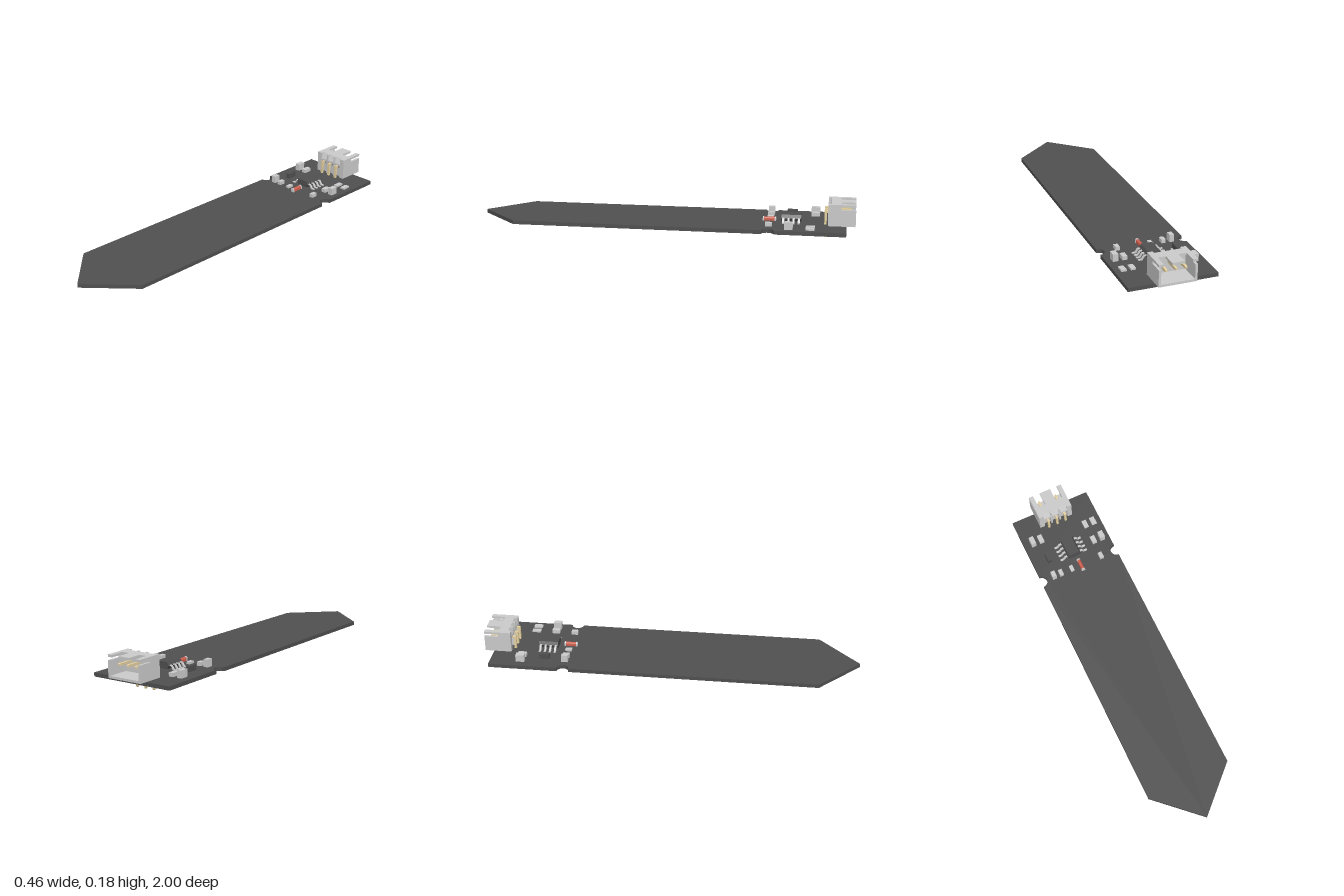
import * as THREE from 'three';

const mat = (color) => new THREE.MeshStandardMaterial({ color, flatShading: true });
const TOP = 0.068; // upper face of the board

export function createModel() {
  const grey = mat(0xcccccc), dark = mat(0x505050), gold = mat(0xe6d2a0), red = mat(0xd0604f);
  const model = new THREE.Group();

  const add = (parent, name, geo, material) => {
    const m = new THREE.Mesh(geo, material);
    m.name = name;
    parent.add(m);
    return m;
  };
  // box given by its limits on each axis
  const box = (parent, name, x0, x1, y0, y1, z0, z1, material = grey) => {
    const m = add(parent, name, new THREE.BoxGeometry(x1 - x0, y1 - y0, z1 - z0), material);
    m.position.set((x0 + x1) / 2, (y0 + y1) / 2, (z0 + z1) / 2);
    return m;
  };
  const group = (name) => {
    const g = new THREE.Group();
    g.name = name;
    model.add(g);
    return g;
  };
  const polygon = (pts) => new THREE.Shape(pts.map(([x, y]) => new THREE.Vector2(x, y)));
  const extrude = (shape, depth) =>
    new THREE.ExtrudeGeometry(shape, { depth, bevelEnabled: false, curveSegments: 14 });

  // Board: pointed blade with a half-round notch on each edge (shape y = -z)
  const W = 0.228, notchY = 0.555, R = 0.032;
  const outline = new THREE.Shape();
  outline.moveTo(0, -1);
  outline.lineTo(W, -0.785);
  outline.lineTo(W, notchY - R);
  outline.absarc(W, notchY, R, -Math.PI / 2, Math.PI / 2, true);
  outline.lineTo(W, 0.953);
  outline.lineTo(-W, 0.953);
  outline.lineTo(-W, notchY + R);
  outline.absarc(-W, notchY, R, Math.PI / 2, -Math.PI / 2, true);
  outline.lineTo(-W, -0.785);
  outline.closePath();
  const board = add(model, 'board', extrude(outline, 0.02).rotateX(-Math.PI / 2), dark);
  board.position.y = 0.048;

  // Connector housing, open towards the back
  const housing = group('connectorHousing');
  const H = 0.097, y0 = 0.07, y1 = 0.184, front = -0.858, wall = -0.874;
  box(housing, 'housingFloor', -H, H, y0, y0 + 0.012, -1, wall);
  box(housing, 'housingFrontWall', -H, H, y0, y1, wall - 0.014, wall);
  // top plate with two slots from the back edge (shape y = -z)
  const top = polygon([
    [-H, 0.874], [H, 0.874], [H, 1], [0.072, 1], [0.072, 0.925], [0.032, 0.925], [0.032, 1],
    [-0.032, 1], [-0.032, 0.925], [-0.072, 0.925], [-0.072, 1], [-H, 1],
  ]);
  add(housing, 'housingTop', extrude(top, 0.012).rotateX(-Math.PI / 2), grey).position.y = y1 - 0.012;
  // side walls with a narrow slot from the back edge
  for (const s of [-1, 1]) {
    const side = polygon([
      [0.874, y0], [1, y0], [1, 0.157], [0.925, 0.157], [0.925, 0.172], [1, 0.172], [1, y1], [0.874, y1],
    ]);
    const m = add(housing, 'housingSide', extrude(side, 0.012).rotateY(Math.PI / 2), grey);
    m.position.x = s > 0 ? H - 0.012 : -H;
  }
  // ribs leaving three grooves behind the pins
  for (const [a, b] of [[-H, -0.07], [-0.03, -0.02], [0.02, 0.03], [0.07, H]])
    box(housing, 'housingRib', a, b, y0, y1, wall, front);
  // sloped hood at the top of each groove
  for (const x of [-0.05, 0, 0.05]) {
    const hood = polygon([[-wall, 0.12], [-wall, y1], [-front, 0.15], [-front, 0.14]]);
    const m = add(housing, 'grooveHood', extrude(hood, 0.04).rotateY(Math.PI / 2), grey);
    m.position.x = x - 0.02;
  }

  // Bent pins: down through the board and back into the housing
  const pins = group('pins');
  for (const x of [-0.05, 0, 0.05]) {
    const a = 0.006;
    box(pins, 'pinLeg', x - a, x + a, 0.008, 0.142, -0.851, -0.839, gold);
    box(pins, 'pinContact', x - a, x + a, 0.13, 0.142, -0.97, -0.851, gold);
    for (const [tipY, flip, tipZ, turn] of [[0.004, Math.PI, -0.845, 0], [0.136, 0, -0.974, -Math.PI / 2]]) {
      const tip = new THREE.CylinderGeometry(0.0055, a * Math.SQRT2, 0.008, 4).rotateY(Math.PI / 4);
      const m = add(pins, 'pinTip', tip.rotateX(flip + turn), gold);
      m.position.set(x, tipY, tipZ);
    }
  }

  // Eight-legged chip
  const chip = group('chip');
  const body = polygon([
    [-0.03, 0.071], [0.03, 0.071], [0.04, 0.089], [0.03, 0.107], [-0.03, 0.107], [-0.04, 0.089],
  ]);
  add(chip, 'chipBody', extrude(body, 0.104), dark).position.z = -0.719;
  for (const s of [-1, 1])
    for (let i = 0; i < 4; i++) {
      const leg = [
        [0.036, 0.092], [0.036, 0.087], [0.048, 0.087], [0.06, 0.068],
        [0.08, 0.068], [0.08, 0.073], [0.064, 0.073], [0.052, 0.092],
      ].map(([x, y]) => [x * s, y]);
      add(chip, 'chipLeg', extrude(polygon(leg), 0.011), grey).position.z = -0.667 + (i - 1.5) * 0.027 - 0.0055;
    }

  // Small surface parts: x, z, width, length, top height
  const parts = group('surfaceParts');
  const chips = [
    [-0.176, -0.79, 0.026, 0.046, 0.107], [-0.127, -0.79, 0.026, 0.046, 0.088],
    [0.137, -0.77, 0.026, 0.046, 0.077], [0.185, -0.77, 0.028, 0.046, 0.077],
    [0.137, -0.66, 0.026, 0.042, 0.088], [0.185, -0.66, 0.028, 0.042, 0.107],
    [-0.153, -0.555, 0.024, 0.035, 0.107], [-0.11, -0.555, 0.022, 0.035, 0.088],
    [-0.045, -0.555, 0.02, 0.035, 0.08], [0.133, -0.555, 0.022, 0.035, 0.088],
  ];
  for (const [x, z, w, l, h] of chips)
    box(parts, 'surfacePart', x - w / 2, x + w / 2, TOP, h, z - l / 2, z + l / 2);
  box(parts, 'darkPart', -0.146, -0.126, TOP, 0.098, -0.694, -0.64, dark);

  // Indicator light: rounded red lens with grey end caps
  const light = group('indicatorLight');
  const arch = (r, h) => {
    const s = new THREE.Shape();
    s.moveTo(-r, 0);
    s.lineTo(r, 0);
    s.absarc(0, h - r, r, 0, Math.PI, false);
    s.closePath();
    return s;
  };
  add(light, 'lightLens', extrude(arch(0.009, 0.02), 0.056), red).position.set(0.01, TOP, -0.58);
  for (const z of [-0.587, -0.524])
    add(light, 'lightCap', extrude(arch(0.0105, 0.022), 0.007), grey).position.set(0.01, TOP, z);

  return model;
}
